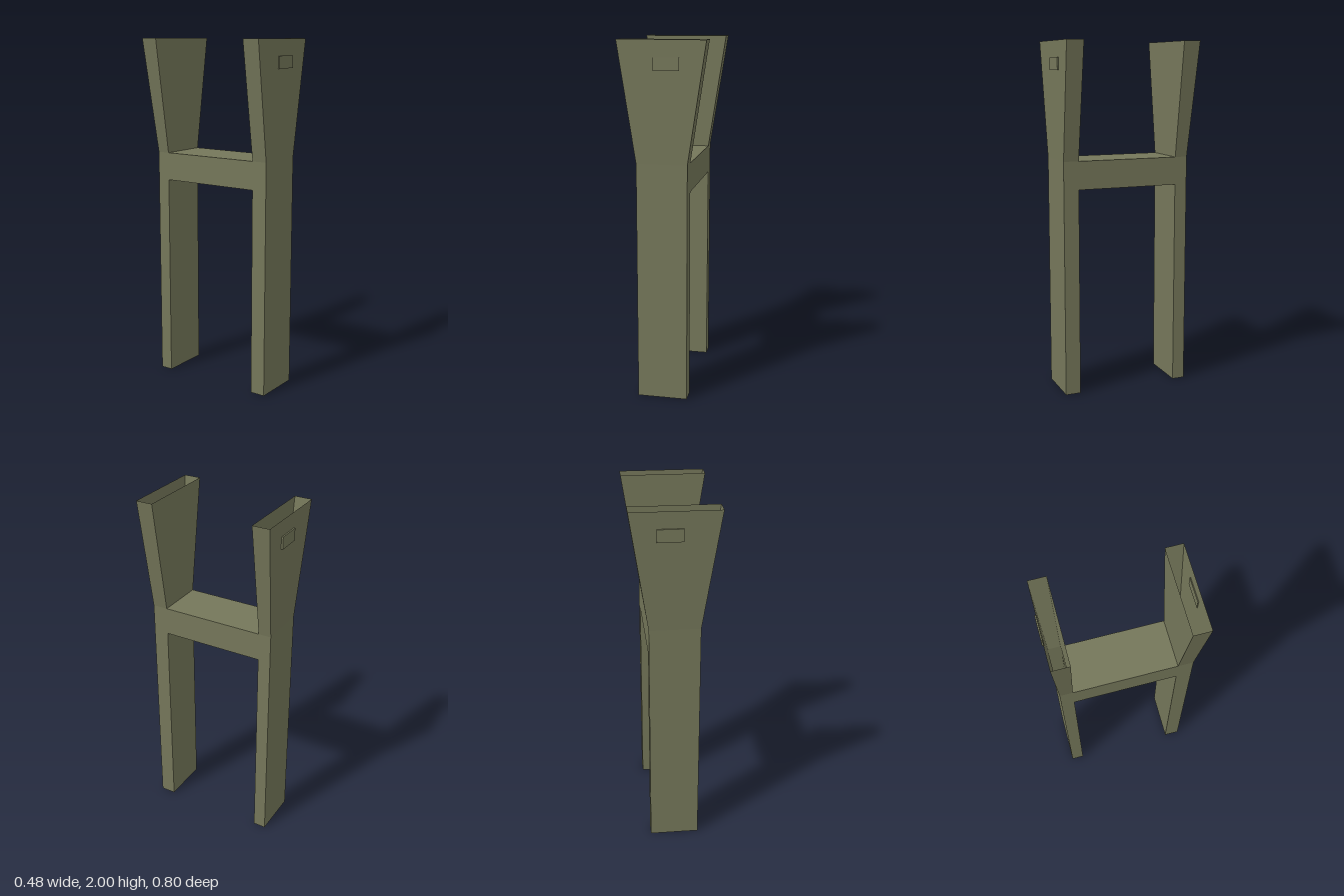
import * as THREE from 'three';

const olive = new THREE.MeshStandardMaterial({ color: 0x75775a, flatShading: true, side: THREE.DoubleSide });

const INNER = 0.295; // distance of the inner post walls from the middle
const BAR_LOW = 1.185, BAR_TOP = 1.345;

// Open skin of flat quads between successive four-cornered rings
function skin(rings, keep = () => true) {
  const pos = [];
  for (let r = 0; r + 1 < rings.length; r++) {
    for (let i = 0; i < 4; i++) {
      if (!keep(r, i)) continue;
      const j = (i + 1) % 4;
      const a = rings[r][i], b = rings[r][j], c = rings[r + 1][j], d = rings[r + 1][i];
      pos.push(...a, ...b, ...c, ...a, ...c, ...d);
    }
  }
  const geo = new THREE.BufferGeometry();
  geo.setAttribute('position', new THREE.Float32BufferAttribute(pos, 3));
  geo.computeVertexNormals();
  return geo;
}

function add(group, name, geometry) {
  const mesh = new THREE.Mesh(geometry, olive);
  mesh.name = name;
  group.add(mesh);
  return mesh;
}

// Hollow post, open at both ends, flaring above the crossbar
function makePost(name, side, outerLow, outerTop) {
  const post = new THREE.Group();
  post.name = name;
  const levels = [
    [0, 0.14, outerLow],
    [BAR_LOW, 0.14, outerLow],
    [BAR_TOP, 0.14, outerLow],
    [2, 0.24, outerTop],
  ];
  // Turning the corners by the side keeps the walls facing outwards
  const rings = levels.map(([y, w, z]) => [
    [-w * side, y, z * side], [w * side, y, z * side],
    [w * side, y, INNER * side], [-w * side, y, INNER * side],
  ]);
  // The inner wall is left out where the crossbar joins
  add(post, 'postWalls', skin(rings, (r, i) => !(r === 1 && i === 2)));

  // Small raised tab near the top of the outer wall
  const tab = add(post, 'tab', new THREE.BoxGeometry(0.138, 0.068, 0.012));
  tab.position.set(0.028, 1.875, 0.392 * side);
  return post;
}

export function createModel() {
  const model = new THREE.Group();
  model.name = 'standFrame';

  model.add(makePost('frontPost', 1, 0.383, 0.392));
  model.add(makePost('backPost', -1, 0.368, 0.393));

  // Hollow crossbar running between the posts
  const barRing = (z) => [
    [-0.14, BAR_LOW, z], [0.14, BAR_LOW, z], [0.14, BAR_TOP, z], [-0.14, BAR_TOP, z],
  ];
  add(model, 'crossbar', skin([barRing(-INNER), barRing(INNER)]));

  return model;
}
